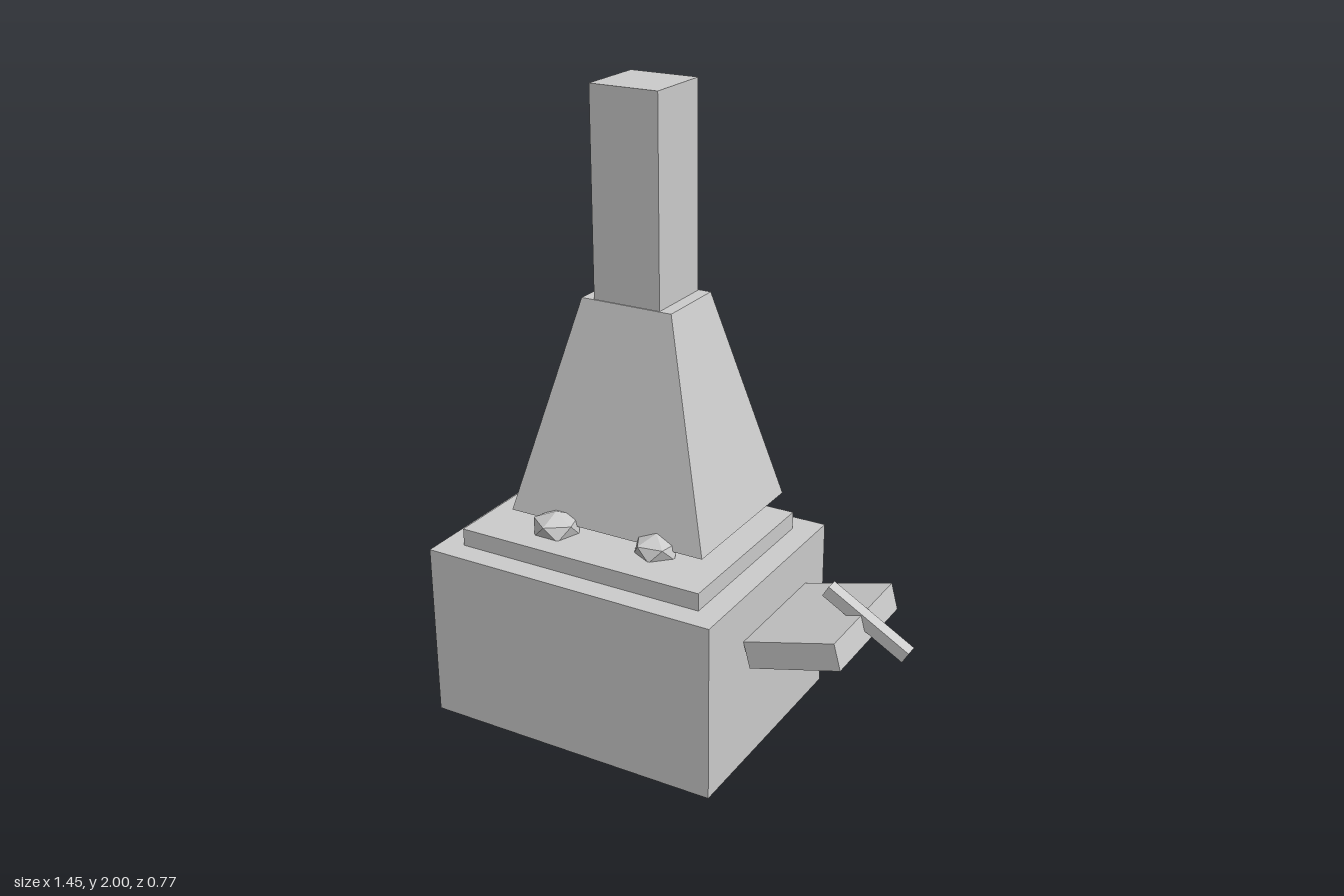
import * as THREE from 'three';

export function createModel() {
  const model = new THREE.Group();
  model.name = 'forge';
  const material = new THREE.MeshStandardMaterial({ color: 0xcccccc, flatShading: true });

  function add(name, geometry, x, y, z, parent = model) {
    const mesh = new THREE.Mesh(geometry, material);
    mesh.name = name;
    mesh.position.set(x, y, z);
    parent.add(mesh);
    return mesh;
  }

  // Box given by its lower and upper limits on each axis
  function block(name, [x0, x1], [y0, y1], [z0, z1]) {
    const geometry = new THREE.BoxGeometry(x1 - x0, y1 - y0, z1 - z0);
    return add(name, geometry, (x0 + x1) / 2, (y0 + y1) / 2, (z0 + z1) / 2);
  }

  // Masonry body, raised hearth and chimney
  block('base', [-0.725, 0.27], [0, 0.578], [-0.383, 0.383]);
  block('hearth', [-0.65, 0.192], [0.56, 0.635], [-0.308, 0.306]);
  block('chimney', [-0.342, -0.113], [1.33, 2], [-0.23, 0]);

  // Smoke hood: a box whose upper corners are drawn in
  const hood = block('hood', [-0.572, 0.116], [0.655, 1.35], [-0.383, 0.15]);
  const corners = hood.geometry.attributes.position;
  for (let i = 0; i < corners.count; i++) {
    if (corners.getY(i) > 0) {
      corners.setX(i, corners.getX(i) * 0.455);
      corners.setZ(i, corners.getZ(i) * 0.45);
    }
  }
  hood.geometry.computeVertexNormals();

  // Flattened faceted coals: x, z, radius, turn
  const coalShape = new THREE.IcosahedronGeometry(1, 0);
  coalShape.rotateZ(Math.atan(2 / (1 + Math.sqrt(5))));
  const coals = new THREE.Group();
  coals.name = 'coals';
  model.add(coals);
  [
    [-0.39, 0.17, 0.082, 0.3], [-0.045, 0.143, 0.077, 1.1],
    [-0.43, -0.02, 0.078, 0.8], [-0.22, 0.05, 0.07, 2.0],
    [0.01, -0.02, 0.078, 1.6], [-0.33, -0.15, 0.075, 0.5],
    [-0.13, -0.15, 0.075, 2.4],
  ].forEach(([x, z, r, turn]) => {
    const coal = add('coal', coalShape, x, 0.652, z, coals);
    coal.scale.set(r, r * 0.6, r);
    coal.rotation.y = turn;
  });

  // Tilted bellows on the left side with its pump handle
  const bellows = add('bellows', new THREE.BoxGeometry(0.305, 0.088, 0.42), 0.428, 0.425, -0.04);
  bellows.rotation.z = Math.PI / 12;
  const handle = add('bellowsHandle', new THREE.BoxGeometry(0.307, 0.04, 0.042), 0.578, 0.48, -0.04);
  handle.rotation.z = -Math.PI / 6;

  return model;
}
